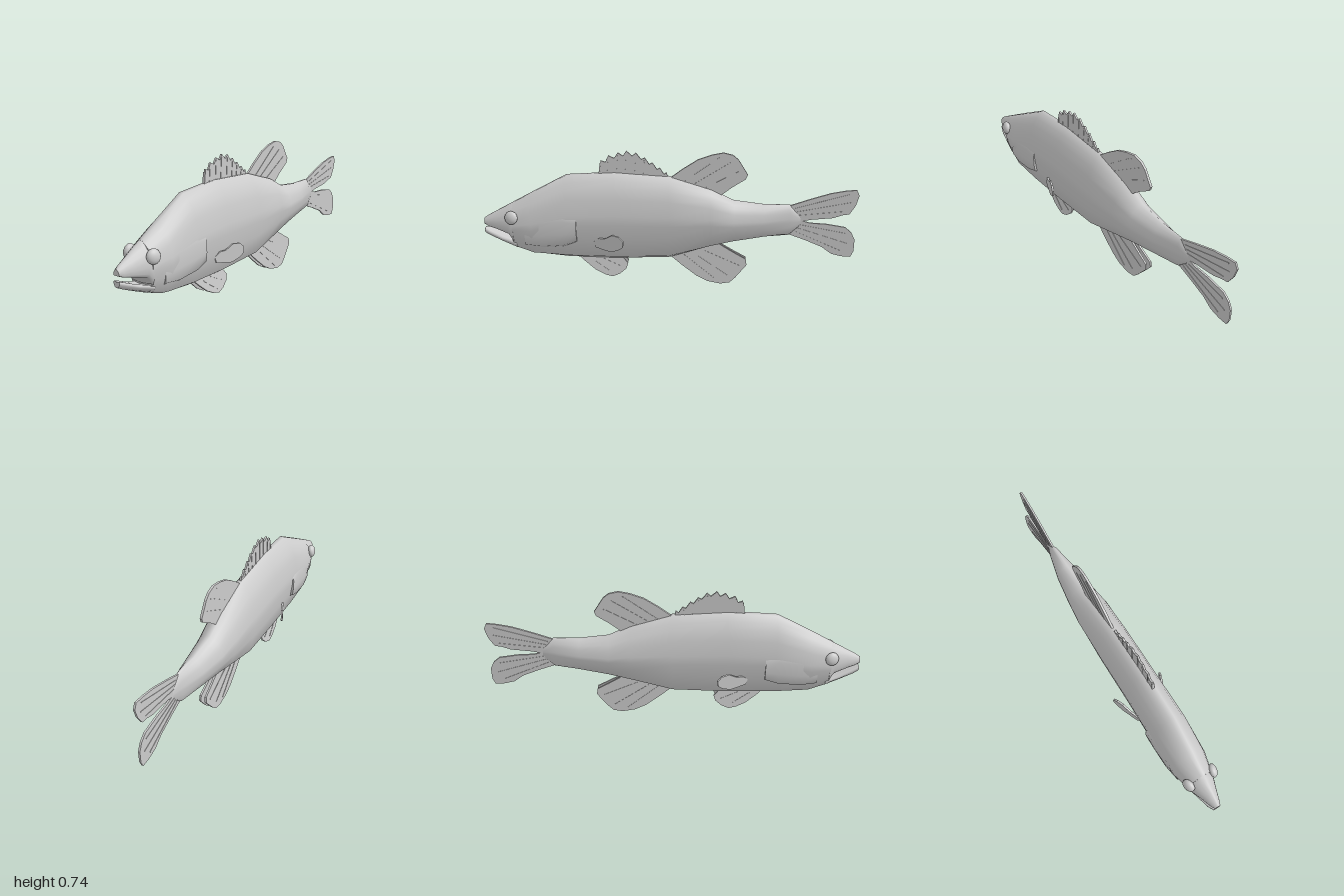
import * as THREE from 'three';

const grey = new THREE.MeshStandardMaterial({ color: 0xcccccc, side: THREE.DoubleSide });

// Half cross-sections, top to bottom: [share of half width, share of height]
const BODY = [[0.13, 1], [0.38, 0.93], [0.64, 0.855], [0.84, 0.74], [1, 0.56], [1, 0.45], [0.9, 0.28], [0.68, 0.06], [0.18, 0]];
const SNOUT = [[0.13, 1], [0.4, 0.9], [0.7, 0.75], [0.9, 0.55], [1, 0.35], [0.98, 0.15], [0.85, 0.03], [0.2, 0]];
const JAW = [[0.3, 0.9], [0.75, 1], [1, 0.85], [0.95, 0.55], [0.7, 0.2], [0.2, 0]];
const GILL = [[0.5, 1], [0.85, 0.9], [1, 0.65], [1, 0.35], [0.95, 0.1], [0.6, 0]];

// Skin over stations [z, top, bottom, half width] ordered front to back, with capped ends
function loft(name, half, stations) {
  const ring = [...half, ...half.slice().reverse().map(([w, t]) => [-w, t])];
  const n = ring.length, pos = [], idx = [];
  const addRing = ([z, top, bot, hw]) => {
    for (const [w, t] of ring) pos.push(w * hw, bot + t * (top - bot), z);
  };
  stations.forEach(addRing);
  for (let i = 0; i < stations.length - 1; i++) {
    for (let j = 0; j < n; j++) {
      const a = i * n + j, b = i * n + (j + 1) % n;
      idx.push(a, b, a + n, b, b + n, a + n);
    }
  }
  [stations[0], stations[stations.length - 1]].forEach((s, end) => {
    const base = pos.length / 3;
    addRing(s);
    pos.push(0, (s[1] + s[2]) / 2, s[0]);
    for (let j = 0; j < n; j++) {
      const a = base + j, b = base + (j + 1) % n;
      idx.push(base + n, end ? a : b, end ? b : a);
    }
  });
  const g = new THREE.BufferGeometry();
  g.setAttribute('position', new THREE.Float32BufferAttribute(pos, 3));
  g.setIndex(idx);
  g.computeVertexNormals();
  const mesh = new THREE.Mesh(g, grey);
  mesh.name = name;
  return mesh;
}

// Thin fin from a side outline of [z, y] points; rays are [z1, y1, z2, y2] ridges.
// The group hinges at the pivot [z, y].
function fin(name, outline, rays = [], pivot = [0, 0], thick = 0.01) {
  const group = new THREE.Group();
  group.name = name;
  const place = (g, part) => {
    g.rotateY(-Math.PI / 2).translate(0, -pivot[1], -pivot[0]);
    const mesh = new THREE.Mesh(g, grey);
    mesh.name = part;
    group.add(mesh);
  };
  const shape = new THREE.Shape(outline.map(([z, y]) => new THREE.Vector2(z, y)));
  const blade = new THREE.ExtrudeGeometry(shape, { depth: thick, bevelEnabled: false });
  place(blade.translate(0, 0, -thick / 2), 'finBlade');
  for (const [z1, y1, z2, y2] of rays) {
    const g = new THREE.BoxGeometry(Math.hypot(z2 - z1, y2 - y1), 0.005, thick + 0.004);
    g.rotateZ(Math.atan2(y2 - y1, z2 - z1)).translate((z1 + z2) / 2, (y1 + y2) / 2, 0);
    place(g, 'finRay');
  }
  group.position.set(0, pivot[1], pivot[0]);
  return group;
}

export function createModel() {
  const fish = new THREE.Group();
  fish.name = 'fish';

  // Trunk from the cheeks to the tail root
  fish.add(loft('body', BODY, [
    [0.84, 0.458, 0.213, 0.073], [0.73, 0.517, 0.175, 0.098], [0.545, 0.615, 0.155, 0.1],
    [0.29, 0.63, 0.147, 0.095], [0, 0.61, 0.157, 0.095], [-0.22, 0.54, 0.225, 0.093],
    [-0.34, 0.48, 0.255, 0.08], [-0.5, 0.46, 0.28, 0.058], [-0.64, 0.46, 0.29, 0.026],
    [-0.70, 0.395, 0.345, 0.006],
  ]));

  // Open mouth
  fish.add(loft('upperJaw', SNOUT, [
    [1, 0.368, 0.338, 0.016], [0.975, 0.385, 0.326, 0.027], [0.93, 0.409, 0.315, 0.042],
    [0.86, 0.447, 0.293, 0.068], [0.835, 0.46, 0.25, 0.073],
  ]));
  fish.add(loft('lowerJaw', JAW, [
    [1, 0.314, 0.283, 0.018], [0.97, 0.303, 0.268, 0.032], [0.9, 0.274, 0.238, 0.046],
    [0.82, 0.25, 0.205, 0.062],
  ]));

  // Gill covers: a raised band showing on both cheeks
  fish.add(loft('gillCovers', GILL, [
    [0.77, 0.41, 0.23, 0.085], [0.68, 0.455, 0.22, 0.1], [0.56, 0.47, 0.23, 0.104], [0.49, 0.44, 0.26, 0.106],
  ]));

  // Spiny dorsal fin: a peak and a notch for every spine
  const peaks = [[0.36, 0.695], [0.32, 0.722], [0.27, 0.738], [0.225, 0.748], [0.175, 0.738],
    [0.13, 0.712], [0.09, 0.686], [0.05, 0.657], [0.015, 0.633]];
  const crest = [[0.37, 0.6], [0.37, 0.64]];
  peaks.forEach(([z, y], i) => {
    crest.push([z, y]);
    const next = peaks[i + 1];
    if (next) crest.push([z * 0.4 + next[0] * 0.6, (y + next[1]) / 2 - 0.022]);
  });
  crest.push([0.005, 0.59]);
  fish.add(fin('spinyDorsalFin', crest, peaks.slice(0, 8).map(([z, y]) => [z + 0.012, 0.61, z + 0.003, y - 0.015])));

  // Soft dorsal fin
  fish.add(fin('softDorsalFin', [
    [0, 0.6], [-0.07, 0.653], [-0.15, 0.705], [-0.22, 0.73], [-0.28, 0.742], [-0.33, 0.73], [-0.36, 0.705],
    [-0.41, 0.625], [-0.4, 0.6], [-0.33, 0.555], [-0.26, 0.5], [-0.2, 0.52],
  ], [[-0.08, 0.585, -0.26, 0.715], [-0.13, 0.57, -0.32, 0.69], [-0.19, 0.55, -0.36, 0.64]], [0, 0], 0.012));

  // Forked tail
  fish.add(fin('upperTailLobe', [
    [-0.64, 0.455], [-0.74, 0.49], [-0.85, 0.525], [-0.93, 0.54], [-0.985, 0.545], [-1, 0.515], [-0.985, 0.46],
    [-0.955, 0.41], [-0.92, 0.405], [-0.87, 0.388], [-0.76, 0.378], [-0.69, 0.365], [-0.64, 0.38],
  ], [[-0.67, 0.44, -0.95, 0.52], [-0.68, 0.42, -0.96, 0.475], [-0.69, 0.4, -0.93, 0.425]]));
  fish.add(fin('lowerTailLobe', [
    [-0.64, 0.38], [-0.69, 0.375], [-0.75, 0.358], [-0.84, 0.352], [-0.94, 0.335], [-0.975, 0.305], [-0.995, 0.265],
    [-0.995, 0.2], [-0.98, 0.165], [-0.93, 0.168], [-0.875, 0.182], [-0.82, 0.222], [-0.73, 0.26], [-0.64, 0.293],
  ], [[-0.68, 0.35, -0.94, 0.3], [-0.68, 0.33, -0.96, 0.24], [-0.67, 0.31, -0.92, 0.2]]));

  // Paired fins and eyes, mirrored
  for (const [side, s] of [['left', 1], ['right', -1]]) {
    const pectoral = fin(side + 'PectoralFin', [
      [0.4, 0.27], [0.37, 0.292], [0.335, 0.295], [0.29, 0.322], [0.25, 0.317], [0.226, 0.295],
      [0.23, 0.262], [0.255, 0.243], [0.3, 0.226], [0.345, 0.232], [0.39, 0.24],
    ], [], [0.39, 0.27]);
    pectoral.position.x = s * 0.084;
    pectoral.rotation.y = -s * 0.38;

    const pelvic = fin(side + 'PelvicFin', [
      [0.49, 0.16], [0.46, 0.13], [0.4, 0.08], [0.35, 0.055], [0.31, 0.045], [0.27, 0.06], [0.235, 0.09],
      [0.225, 0.12], [0.25, 0.15], [0.25, 0.18], [0.4, 0.18],
    ], [[0.42, 0.14, 0.32, 0.07], [0.36, 0.145, 0.26, 0.1]], [0.4, 0.16]);
    pelvic.position.x = s * 0.018;
    pelvic.rotation.z = s * 0.17;

    const anal = fin(side + 'AnalFin', [
      [0, 0.17], [-0.07, 0.11], [-0.15, 0.048], [-0.21, 0.018], [-0.28, 0.004], [-0.33, 0.012], [-0.36, 0.04],
      [-0.42, 0.115], [-0.415, 0.148], [-0.35, 0.185], [-0.26, 0.24], [-0.15, 0.22],
    ], [[-0.08, 0.17, -0.25, 0.03], [-0.13, 0.18, -0.32, 0.05], [-0.19, 0.195, -0.38, 0.11]], [-0.2, 0.2]);
    anal.position.x = s * 0.012;
    anal.rotation.z = s * 0.05;

    const eye = new THREE.Mesh(new THREE.SphereGeometry(0.036, 24, 16), grey);
    eye.name = side + 'Eye';
    eye.scale.x = 0.6;
    eye.position.set(s * 0.073, 0.395, 0.838);
    eye.rotation.set(0, -s * 0.25, s * 0.2);
    fish.add(pectoral, pelvic, anal, eye);
  }
  return fish;
}
